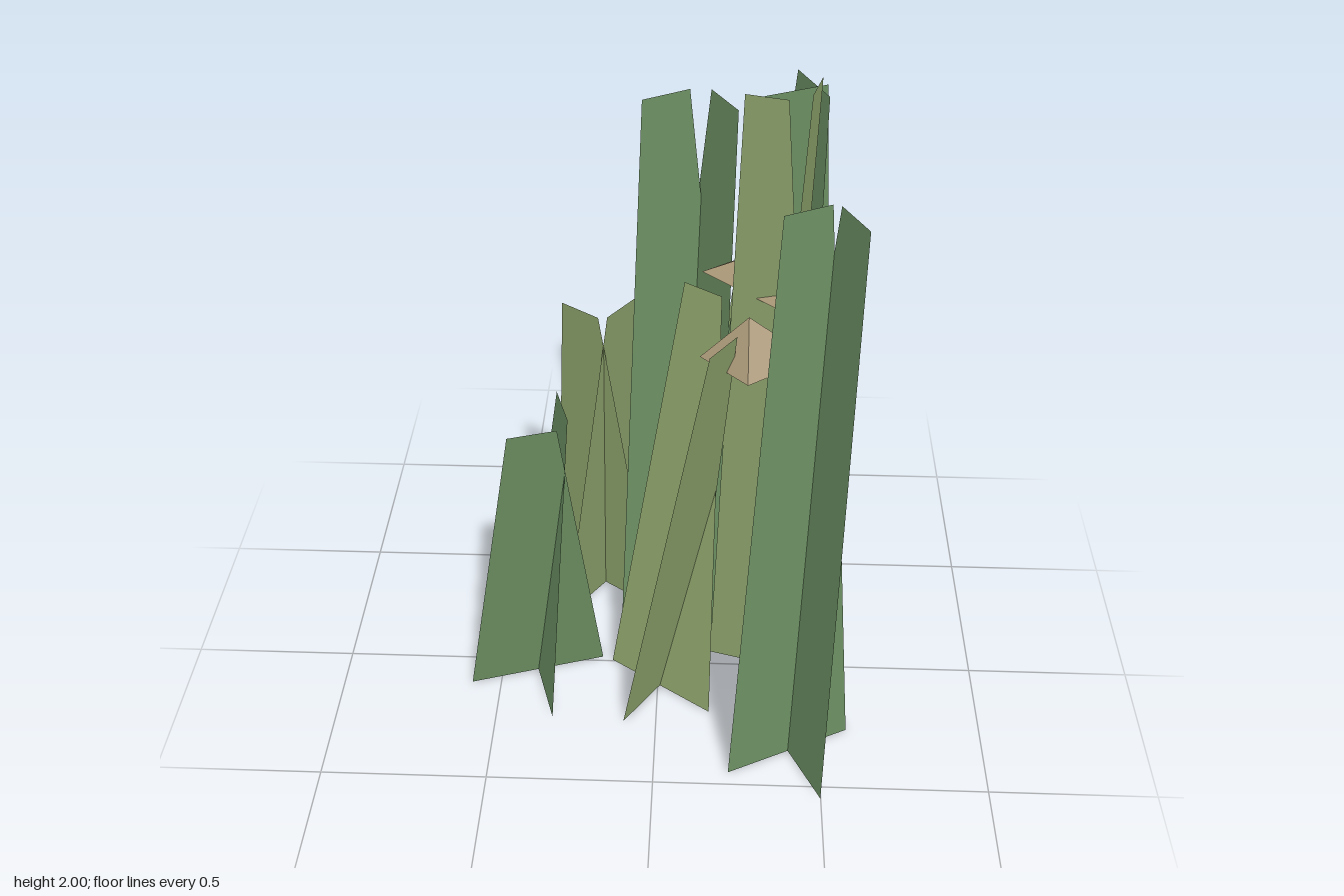
import * as THREE from 'three';

const material = (color) => new THREE.MeshStandardMaterial({ color, flatShading: true, side: THREE.DoubleSide });
const green = material(0x6b8f62);
const olive = material(0x8ba06a);
const brown = material(0xa89676);

function surface(points, index, mat, name) {
  const geo = new THREE.BufferGeometry();
  geo.setAttribute('position', new THREE.Float32BufferAttribute(points.flat(), 3));
  geo.setIndex(index);
  const flat = geo.toNonIndexed();
  flat.computeVertexNormals();
  const mesh = new THREE.Mesh(flat, mat);
  mesh.name = name;
  return mesh;
}

// One tapered blade: base centre c, base half-vector h, top centre t, height y; the top is a third as wide
function blade(c, h, t, y, mat) {
  const corner = (p, s, py) => [p[0] + s * h[0], py, p[1] + s * h[1]];
  const points = [corner(c, -1, 0), corner(c, 1, 0), corner(t, 1 / 3, y), corner(t, -1 / 3, y)];
  return surface(points, [0, 1, 2, 0, 2, 3], mat, 'blade');
}

// Plants of two crossed blades that share a base centre; every blade leans its own way
const plants = [
  { c: [0.407, 0.362], h: [0.182, -0.092], tops: [[0.373, 0.285], [0.485, 0.322]], y: 1.83, mat: green },
  { c: [-0.387, 0.046], h: [0.205, -0.064], tops: [[-0.35, 0.153], [-0.277, 0.012]], y: 1.03, mat: green },
  { c: [-0.197, -0.378], h: [0.119, -0.17], tops: [[-0.124, -0.327], [-0.247, -0.307]], y: 1.15, mat: olive },
  { c: [0.067, -0.293], h: [0.197, -0.113], tops: [[0.005, -0.393], [0.168, -0.365]], y: 1.81, mat: green },
  { c: [0.007, 0.103], h: [0.157, 0.108], tops: [[0.12, -0.069], [0.178, 0.217]], y: 1.38, mat: olive },
  { c: [0.33, -0.01], h: [0.165, 0.045], tops: [[0.27, 0.02], [0.4, -0.05]], y: 2.0, mat: olive },
  { c: [0.313, -0.145], h: [0.25, -0.115], tops: [[0.352, -0.152], [0.398, -0.198]], y: 1.94, mat: green },
  { c: [0.27, -0.345], h: [0.08, -0.185], tops: [[0.245, -0.36], [0.29, -0.325]], y: 1.42, mat: olive },
];

// Four-sided open caps: apex, base height, then left, right, back and front extents
const caps = [
  { apex: [0.33, 1.5, -0.11], y: 1.4, x: [0.115, 0.505], z: [-0.285, 0.065], side: -0.13 },
  { apex: [0.37, 1.46, -0.1], y: 1.36, x: [0.215, 0.525], z: [-0.24, 0.035], side: -0.13 },
  { apex: [0.245, 1.4, 0.1], y: 1.27, x: [0.115, 0.424], z: [-0.02, 0.232], side: 0.1 },
];

export function createModel() {
  const model = new THREE.Group();
  model.name = 'plantCluster';

  for (const { c, h, tops, y, mat } of plants) {
    const plant = new THREE.Group();
    plant.name = 'crossedPlant';
    plant.add(blade(c, h, tops[0], y, mat));
    plant.add(blade(c, [-h[1], h[0]], tops[1], y, mat));
    model.add(plant);
  }

  for (const { apex, y, x, z, side } of caps) {
    const points = [apex, [x[0], y, side], [apex[0], y, z[1]], [x[1], y, side], [apex[0], y, z[0]]];
    model.add(surface(points, [0, 1, 2, 0, 2, 3, 0, 3, 4, 0, 4, 1], brown, 'mushroomCap'));
  }
  return model;
}
